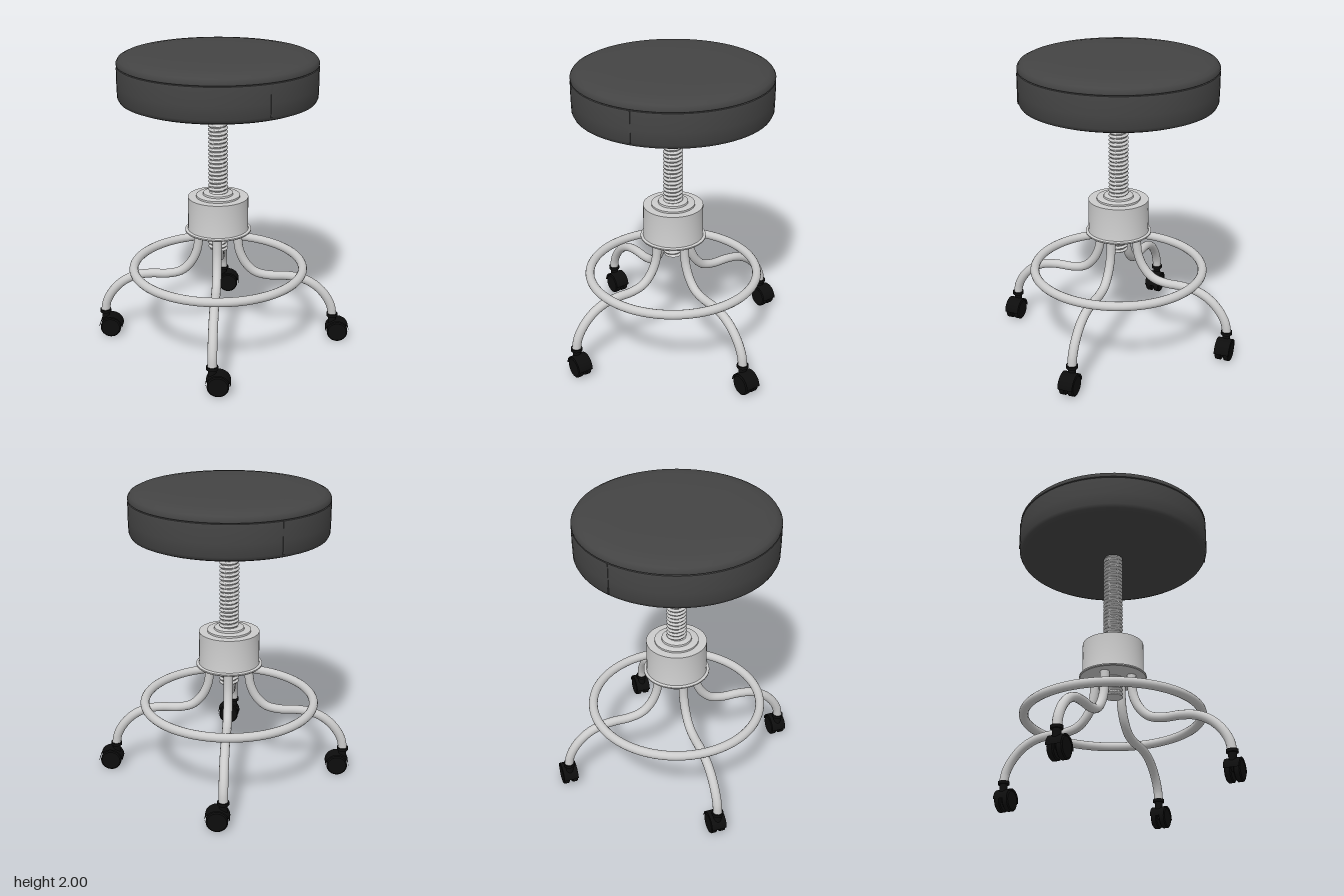
import * as THREE from 'three';
import { toCreasedNormals } from 'three/addons/utils/BufferGeometryUtils.js';

const AXIS_X = -0.04; // the stool's axis; the trailing casters shift it off centre
const LEG_REACH = 0.78;

const metal = new THREE.MeshStandardMaterial({ color: 0xcccccc });
const vinyl = new THREE.MeshStandardMaterial({ color: 0x444444 });
const rubber = new THREE.MeshStandardMaterial({ color: 0x0d0d0d });
const rubberThin = new THREE.MeshStandardMaterial({ color: 0x0d0d0d, side: THREE.DoubleSide });

function add(parent, name, geometry, material, x = 0, y = 0, z = 0) {
  const mesh = new THREE.Mesh(geometry, material);
  mesh.name = name;
  mesh.position.set(x, y, z);
  parent.add(mesh);
  return mesh;
}

// Turned part from [radius, y] pairs, listed bottom to top
function turned(profile, segments, crease = 0.6) {
  const points = profile.map(([r, y]) => new THREE.Vector2(r, y));
  return toCreasedNormals(new THREE.LatheGeometry(points, segments), crease);
}

// Rod whose radius follows a helix, giving a screw thread
function threadedRod(radius, depth, pitch, length) {
  const rows = Math.round((length / pitch) * 6);
  const geometry = new THREE.CylinderGeometry(radius, radius, length, 24, rows);
  const p = geometry.attributes.position;
  for (let i = 0; i < p.count; i++) {
    const x = p.getX(i), y = p.getY(i), z = p.getZ(i);
    const r = Math.hypot(x, z);
    if (r < 0.001) continue;
    const wave = Math.cos((y / pitch) * Math.PI * 2 + Math.atan2(z, x));
    const k = (radius - depth * (0.5 - 0.5 * wave)) / r;
    p.setXYZ(i, x * k, y, z * k);
  }
  return toCreasedNormals(geometry, 1.0);
}

function buildSeat() {
  const seat = new THREE.Group();
  seat.name = 'seat';
  add(seat, 'cushion', turned([
    [0, 1.69], [0.4, 1.685], [0.54, 1.68], [0.6, 1.685], [0.63, 1.697], [0.641, 1.72],
    [0.643, 1.8], [0.643, 1.905], [0.641, 1.917], [0.634, 1.92], [0.642, 1.925],
    [0.642, 1.94], [0.63, 1.96], [0.6, 1.975], [0.53, 1.986], [0.4, 1.995], [0.2, 1.999], [0, 2],
  ], 72, 0.9), vinyl);
  // Two upright seams on opposite sides of the band
  for (const turn of [0, Math.PI]) {
    const angle = 0.56 + turn;
    const seam = add(seat, 'bandSeam', new THREE.BoxGeometry(0.008, 0.2, 0.008), vinyl,
      Math.sin(angle) * 0.642, 1.815, Math.cos(angle) * 0.642);
    seam.rotation.y = angle;
  }
  return seat;
}

function buildCaster() {
  const caster = new THREE.Group();
  caster.name = 'caster';
  add(caster, 'stemCap', new THREE.CylinderGeometry(0.038, 0.038, 0.02, 20), rubber, 0, 0.182);
  add(caster, 'stem', new THREE.CylinderGeometry(0.026, 0.026, 0.06, 16), rubber, 0, 0.145);

  const truck = new THREE.Group();
  truck.name = 'casterTruck';
  truck.position.set(0.037, 0.07, 0);
  caster.add(truck);
  // Twin wheels on one axle
  for (const side of [-1, 1]) {
    const wheel = add(truck, 'wheel', turned([
      [0, -0.021], [0.062, -0.021], [0.07, -0.015], [0.07, 0.015], [0.062, 0.021], [0, 0.021],
    ], 28), rubber, 0, 0, side * 0.029);
    wheel.rotation.x = Math.PI / 2;
  }
  add(truck, 'axle', new THREE.CylinderGeometry(0.015, 0.015, 0.09, 12), rubber).rotation.x = Math.PI / 2;
  add(truck, 'fork', new THREE.BoxGeometry(0.05, 0.09, 0.014), rubber, -0.018, 0.03, 0);
  // Half-round hood over the wheels
  const hood = new THREE.CylinderGeometry(0.079, 0.079, 0.1, 24, 1, true, Math.PI / 2, Math.PI);
  add(truck, 'hood', hood.rotateX(Math.PI / 2), rubberThin);
  if (hoodIsBelow(hood)) hood.rotateZ(Math.PI);
  return caster;
}

function hoodIsBelow(geometry) {
  geometry.computeBoundingBox();
  return geometry.boundingBox.max.y < 0.01;
}

function buildLeg() {
  const path = new THREE.CatmullRomCurve3([
    [0.13, 0.82], [0.132, 0.72], [0.145, 0.64], [0.185, 0.555], [0.25, 0.492], [0.34, 0.468],
    [0.46, 0.466], [0.56, 0.45], [0.65, 0.405], [0.725, 0.33], [0.768, 0.25], [LEG_REACH, 0.185],
  ].map(([r, y]) => new THREE.Vector3(r, y, 0)));
  return new THREE.TubeGeometry(path, 48, 0.03, 14);
}

export function createModel() {
  const model = new THREE.Group();
  model.name = 'swivelStool';
  const stool = new THREE.Group();
  stool.name = 'stool';
  stool.position.x = AXIS_X;
  model.add(stool);

  stool.add(buildSeat());

  // Height screw, running through the hub
  add(stool, 'heightScrew', threadedRod(0.066, 0.012, 0.027, 1.03), metal, 0, 1.175, 0);

  // Hub with a bottom flange and stepped collar
  add(stool, 'hub', turned([
    [0, 0.79], [0.215, 0.79], [0.22, 0.795], [0.22, 0.803], [0.202, 0.808], [0.2, 0.815],
    [0.2, 1.03], [0.145, 1.03], [0.145, 1.042], [0.138, 1.046], [0.1, 1.046],
    [0.098, 1.058], [0.09, 1.062], [0, 1.062],
  ], 48), metal);

  // Foot ring resting on the legs
  add(stool, 'footRing', new THREE.TorusGeometry(0.57, 0.03, 14, 72), metal, 0, 0.525, 0)
    .rotation.x = Math.PI / 2;

  // Four legs, each with a caster; all casters trail the same way
  const legGeometry = buildLeg();
  for (let i = 0; i < 4; i++) {
    const angle = (i * Math.PI) / 2;
    add(stool, 'leg', legGeometry, metal).rotation.y = angle;
    const caster = buildCaster();
    caster.position.set(Math.cos(angle) * LEG_REACH, 0, -Math.sin(angle) * LEG_REACH);
    stool.add(caster);
  }
  return model;
}
